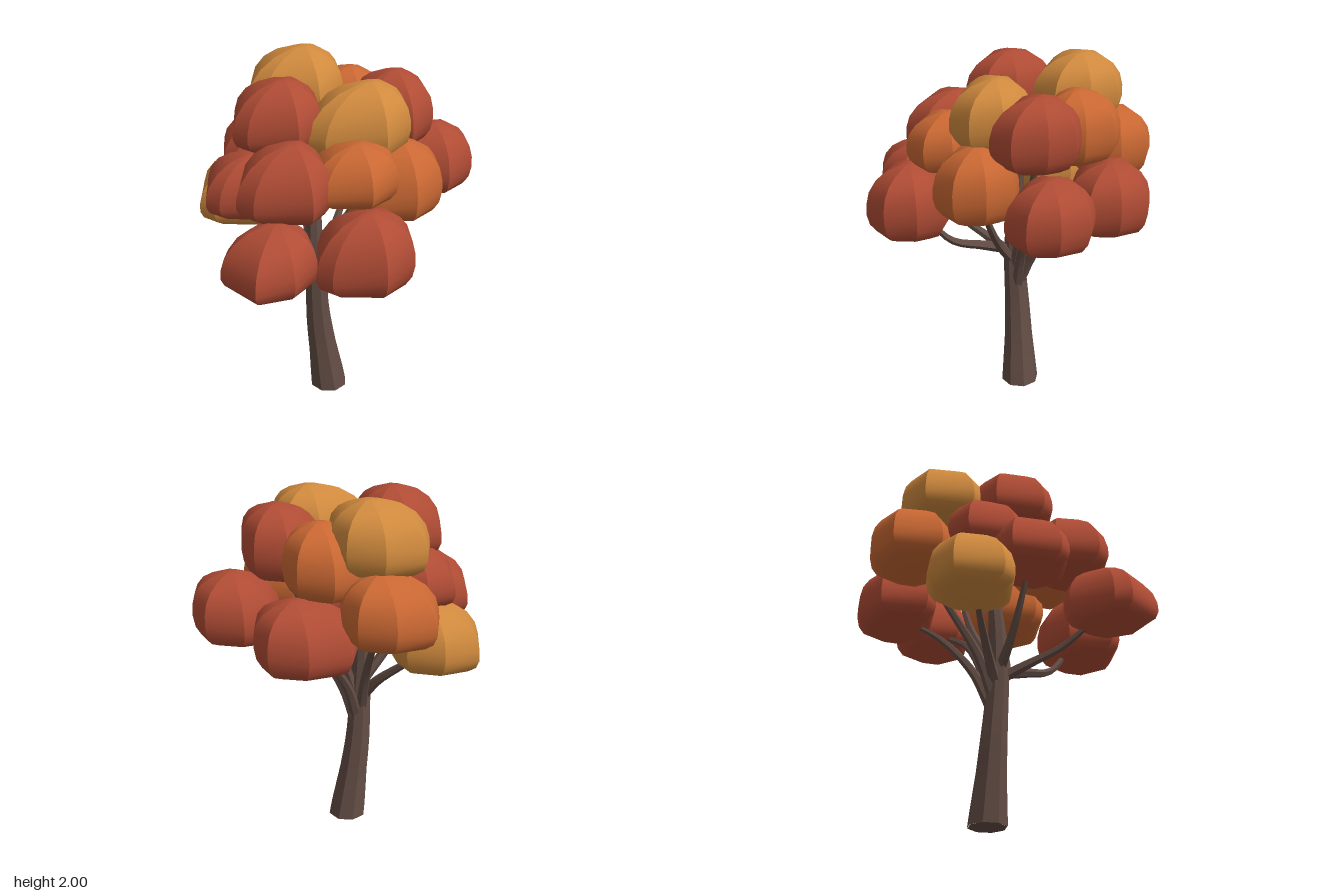
import * as THREE from 'three';
import { toCreasedNormals } from 'three/addons/utils/BufferGeometryUtils.js';

const material = (name, color) => {
  const m = new THREE.MeshStandardMaterial({ color });
  m.name = name;
  return m;
};

// Tapered tube along a smooth curve; radii are spread evenly along its length
function limb(points, radii, sides, steps) {
  const curve = new THREE.CatmullRomCurve3(points.map(p => new THREE.Vector3(...p)));
  const geo = new THREE.TubeGeometry(curve, steps, 1, sides);
  const pos = geo.attributes.position;
  const v = new THREE.Vector3();
  for (let i = 0; i < pos.count; i++) {
    const t = Math.floor(i / (sides + 1)) / steps;
    const k = t * (radii.length - 1);
    const a = Math.min(Math.floor(k), radii.length - 2);
    const r = THREE.MathUtils.lerp(radii[a], radii[a + 1], k - a);
    const c = curve.getPointAt(t);
    v.fromBufferAttribute(pos, i).sub(c).multiplyScalar(r).add(c);
    pos.setXYZ(i, v.x, t === 0 && c.y === 0 ? 0 : v.y, v.z);
  }
  return toCreasedNormals(geo, 0.7);
}

// Half-width and height of a leaf clump, bottom to top
const PROFILE = [
  [0, 0], [0.28, 0], [0.56, 0.03], [0.8, 0.09], [0.94, 0.19], [1, 0.33],
  [0.99, 0.48], [0.92, 0.65], [0.75, 0.805], [0.5, 0.92], [0.16, 1], [0, 1],
];
// Plan of a leaf clump seen from its peak: x, z, going from +x towards +z
const OUTLINE = [
  [1, 0], [0.78, 0.7], [-0.04, 1], [-0.83, 0.47],
  [-1, 0.1], [-0.68, -0.9], [-0.03, -1], [0.84, -0.66],
];
const MIRRORED = OUTLINE.map(([x, z]) => [x, -z]).reverse();

// Eight gores, each smooth from bottom to top, with sharp edges between them;
// the clump bulges higher on its +x side and sags on its -x side
function clump([x, z, bottom, top, right, left, front, back], outline) {
  const position = [];
  const index = [];
  outline.forEach((spoke, s) => {
    PROFILE.forEach(([r, h], j) => {
      const n = position.length / 3;
      for (const [ox, oz] of [spoke, outline[(s + 1) % outline.length]]) {
        const lift = 0.4 * ox * r * h * (1 - h);
        position.push(
          x + r * ox * (ox > 0 ? right : left),
          bottom + (h + lift) * (top - bottom),
          z + r * oz * (oz > 0 ? front : back));
      }
      if (j < PROFILE.length - 1) index.push(n, n + 2, n + 1, n + 1, n + 2, n + 3);
    });
  });
  const geo = new THREE.BufferGeometry();
  geo.setAttribute('position', new THREE.Float32BufferAttribute(position, 3));
  geo.setIndex(index);
  geo.computeVertexNormals();
  return geo;
}

export function createModel() {
  const tree = new THREE.Group();
  tree.name = 'autumnTree';
  const bark = material('bark brown', 0x634d45);
  const red = material('leaf red', 0xb04c35);
  const orange = material('leaf orange', 0xca6833);
  const gold = material('leaf gold', 0xd08a3e);

  const add = (name, geo, mat, parent = tree) => {
    const mesh = new THREE.Mesh(geo, mat);
    mesh.name = name;
    parent.add(mesh);
    return mesh;
  };

  // Trunk, leaning and flared at the foot
  add('trunk', limb(
    [[-0.052, 0, -0.055], [-0.085, 0.25, -0.055], [-0.115, 0.5, -0.052], [-0.132, 0.8, -0.04], [-0.137, 1.05, -0.045], [-0.12, 1.4, -0.07]],
    [0.108, 0.083, 0.069, 0.059, 0.046, 0.025], 8, 20), bark);
  const base = add('trunkBase', new THREE.CircleGeometry(0.104, 8), bark);
  base.rotation.x = Math.PI / 2;
  base.position.set(-0.052, 0.001, -0.055);

  // Branches, each running from the trunk into a clump
  const branches = new THREE.Group();
  branches.name = 'branches';
  tree.add(branches);
  [
    [[-0.1, 0.6, -0.05], [-0.02, 0.83, -0.05], [0.15, 1.09, -0.05], [0.37, 1.24, -0.05], [0.56, 1.36, -0.05]],
    [[-0.1, 0.64, -0.06], [-0.03, 0.85, -0.13], [0.12, 1.08, -0.25], [0.31, 1.25, -0.4]],
    [[-0.13, 0.81, -0.02], [-0.22, 0.89, 0.1], [-0.34, 0.98, 0.24], [-0.5, 1.13, 0.37]],
    [[-0.13, 0.84, -0.02], [-0.13, 0.88, 0.14], [-0.11, 0.94, 0.32], [-0.08, 1.13, 0.48]],
    [[-0.12, 0.78, -0.02], [-0.06, 0.9, 0.06], [0.07, 1.08, 0.14], [0.22, 1.35, 0.23]],
    [[-0.13, 0.7, -0.07], [-0.12, 0.92, -0.16], [-0.1, 1.15, -0.32], [-0.09, 1.42, -0.53]],
    [[-0.14, 0.76, -0.06], [-0.2, 0.88, -0.14], [-0.31, 1.02, -0.26], [-0.42, 1.17, -0.37]],
    [[-0.14, 0.84, -0.04], [-0.24, 0.96, -0.04], [-0.35, 1.11, -0.05], [-0.48, 1.35, -0.06]],
    [[-0.1, 0.76, -0.04], [-0.02, 0.98, -0.05], [0.13, 1.2, -0.05], [0.32, 1.62, -0.05]],
  ].forEach((path, i) => add('branch' + (i + 1), limb(path, [0.034, 0.025, 0.019, 0.013], 6, 12), bark, branches));

  // Leaf clumps: peak x, peak z, bottom, top, then reach to +x, -x, +z, -z
  const foliage = new THREE.Group();
  foliage.name = 'foliage';
  tree.add(foliage);
  const addClumps = (name, mat, rows, outline = OUTLINE) => rows.forEach((row, i) =>
    add(name + (i + 1), clump(row, outline), mat, foliage));

  addClumps('goldClump', gold, [
    [-0.05, -0.38, 1.62, 2.0, 0.195, 0.34, 0.26, 0.24],
    [0.12, 0.12, 1.57, 1.95, 0.19, 0.36, 0.24, 0.21],
    [-0.38, -0.38, 1.05, 1.42, 0.2, 0.31, 0.26, 0.24],
  ]);
  addClumps('orangeClump', orange, [
    [-0.05, 0.35, 1.42, 1.73, 0.2, 0.26, 0.21, 0.22],
    [0.24, 0.24, 1.24, 1.65, 0.21, 0.31, 0.235, 0.22],
    [-0.05, -0.56, 1.3, 1.68, 0.195, 0.33, 0.22, 0.235],
    [0.18, -0.29, 1.49, 1.88, 0.19, 0.29, 0.21, 0.25],
  ]);
  addClumps('redClump', red, [
    [-0.29, -0.05, 1.6, 1.96, 0.18, 0.29, 0.24, 0.25],
    [0.34, -0.055, 1.53, 1.92, 0.18, 0.28, 0.255, 0.23],
    [0.58, -0.05, 1.2, 1.58, 0.21, 0.27, 0.23, 0.24],
    [-0.07, 0.55, 1.03, 1.45, 0.22, 0.3, 0.24, 0.23],
    [-0.345, 0.24, 1.36, 1.74, 0.15, 0.325, 0.28, 0.21],
    [-0.46, -0.06, 1.25, 1.58, 0.2, 0.28, 0.23, 0.25],
    [0.35, -0.43, 1.15, 1.54, 0.21, 0.35, 0.23, 0.23],
    [-0.33, -0.24, 1.38, 1.7, 0.2, 0.25, 0.22, 0.24],
  ]);
  addClumps('lowRedClump', red, [
    [-0.5, 0.39, 1.05, 1.4, 0.17, 0.3, 0.26, 0.22],
  ], MIRRORED);

  return tree;
}
